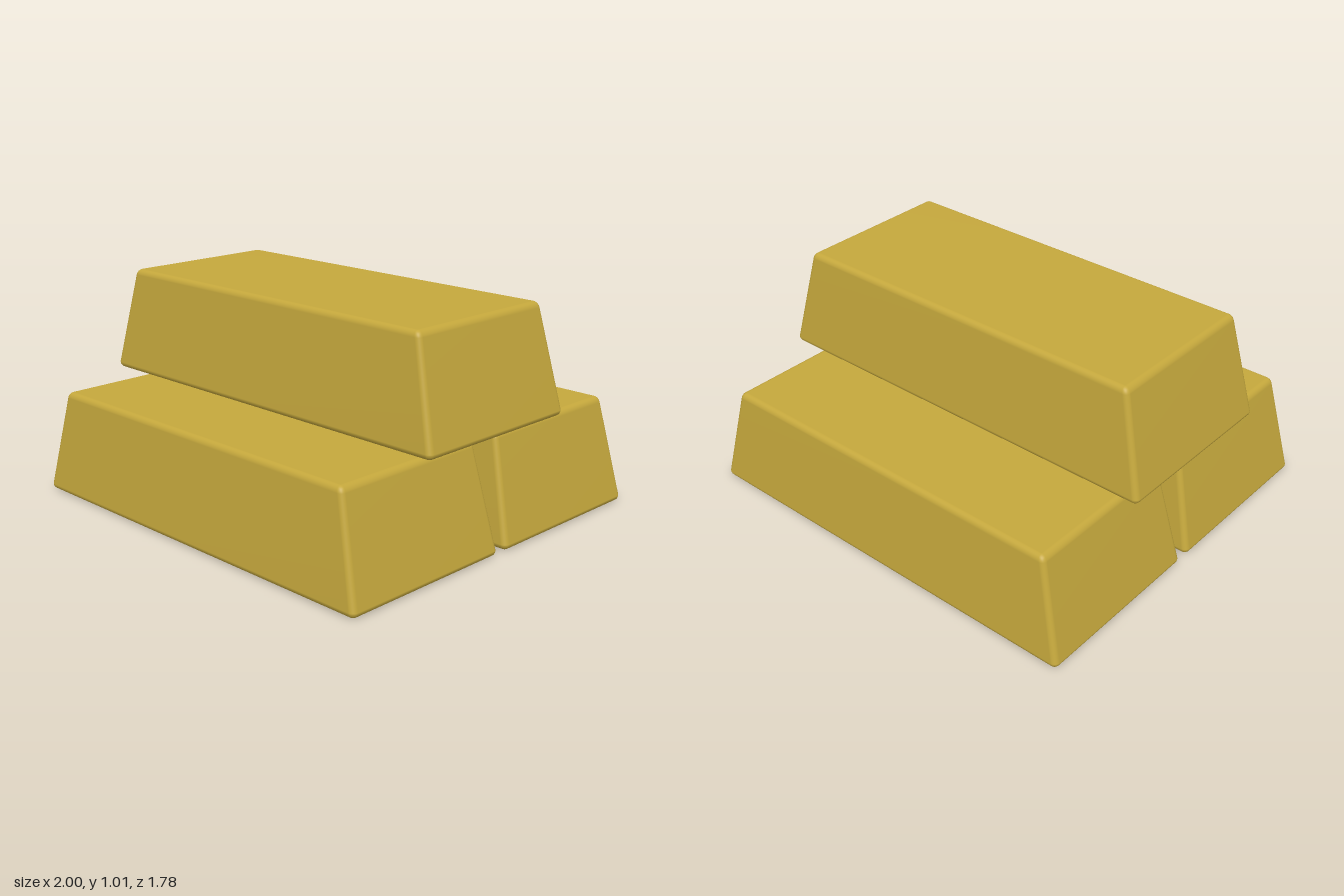
import * as THREE from 'three';
import { RoundedBoxGeometry } from 'three/addons/geometries/RoundedBoxGeometry.js';
import { mergeVertices } from 'three/addons/utils/BufferGeometryUtils.js';

const HEIGHT = 0.49, DEPTH = 0.865, RADIUS = 0.027;

// Rounded block whose four sides lean inwards towards the top
function ingotGeometry() {
  const box = new RoundedBoxGeometry(2, HEIGHT, DEPTH, 4, RADIUS);
  box.translate(0, HEIGHT / 2, 0);
  box.deleteAttribute('normal');
  box.deleteAttribute('uv');
  box.clearGroups();
  const geometry = mergeVertices(box);
  const p = geometry.attributes.position;
  for (let i = 0; i < p.count; i++) {
    const t = Math.max(0, (p.getY(i) - RADIUS) / (HEIGHT - 2 * RADIUS));
    p.setX(i, p.getX(i) * (1 - 0.105 * t));
    p.setZ(i, p.getZ(i) * (1 - 0.098 * t));
  }
  geometry.computeVertexNormals();
  return geometry;
}

export function createModel() {
  const model = new THREE.Group();
  model.name = 'ingotStack';
  const gold = new THREE.MeshStandardMaterial({ color: 0xc4a73c });
  const geometry = ingotGeometry();

  // Two ingots side by side, a third resting above the gap
  const ingots = [
    ['frontIngot', 0, 0.4575],
    ['backIngot', 0, -0.4575],
    ['topIngot', 0.52, 0.04],
  ];
  for (const [name, y, z] of ingots) {
    const ingot = new THREE.Mesh(geometry, gold);
    ingot.name = name;
    ingot.position.set(0, y, z);
    model.add(ingot);
  }
  return model;
}
